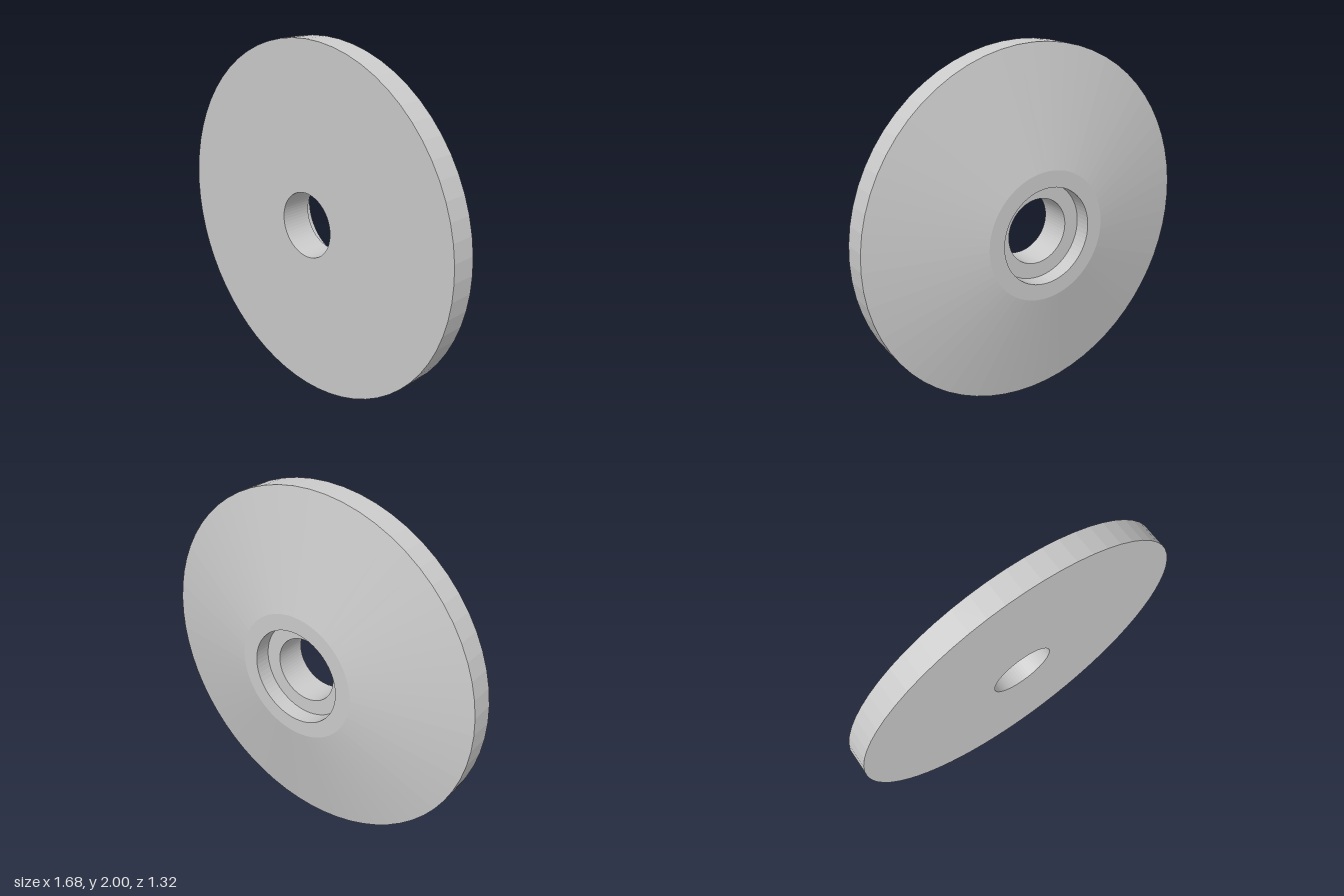
import * as THREE from 'three';

export function createModel() {
  const group = new THREE.Group();
  group.name = 'steppedDisc';

  // Cross-section as [radius, distance along the axis], front face to back boss
  const profile = [
    [0.185, -0.07], // bore, front edge
    [1.0, -0.07], // flat front face
    [1.0, 0.07], // rim
    [0.363, 0.205], // shallow cone up to the boss
    [0.272, 0.205], // flat boss ring
    [0.272, 0.112], // counterbore wall
    [0.185, 0.112], // counterbore floor
    [0.185, -0.07], // bore
  ].map(([r, a]) => new THREE.Vector2(r, a));

  const geometry = new THREE.LatheGeometry(profile, 64);
  geometry.rotateX(-Math.PI / 2); // cone side to the back
  geometry.rotateY(-0.647); // turned about the vertical

  const disc = new THREE.Mesh(
    geometry,
    new THREE.MeshStandardMaterial({ color: 0xcccccc, flatShading: true })
  );
  disc.name = 'disc';
  disc.position.y = 1;
  group.add(disc);
  return group;
}
